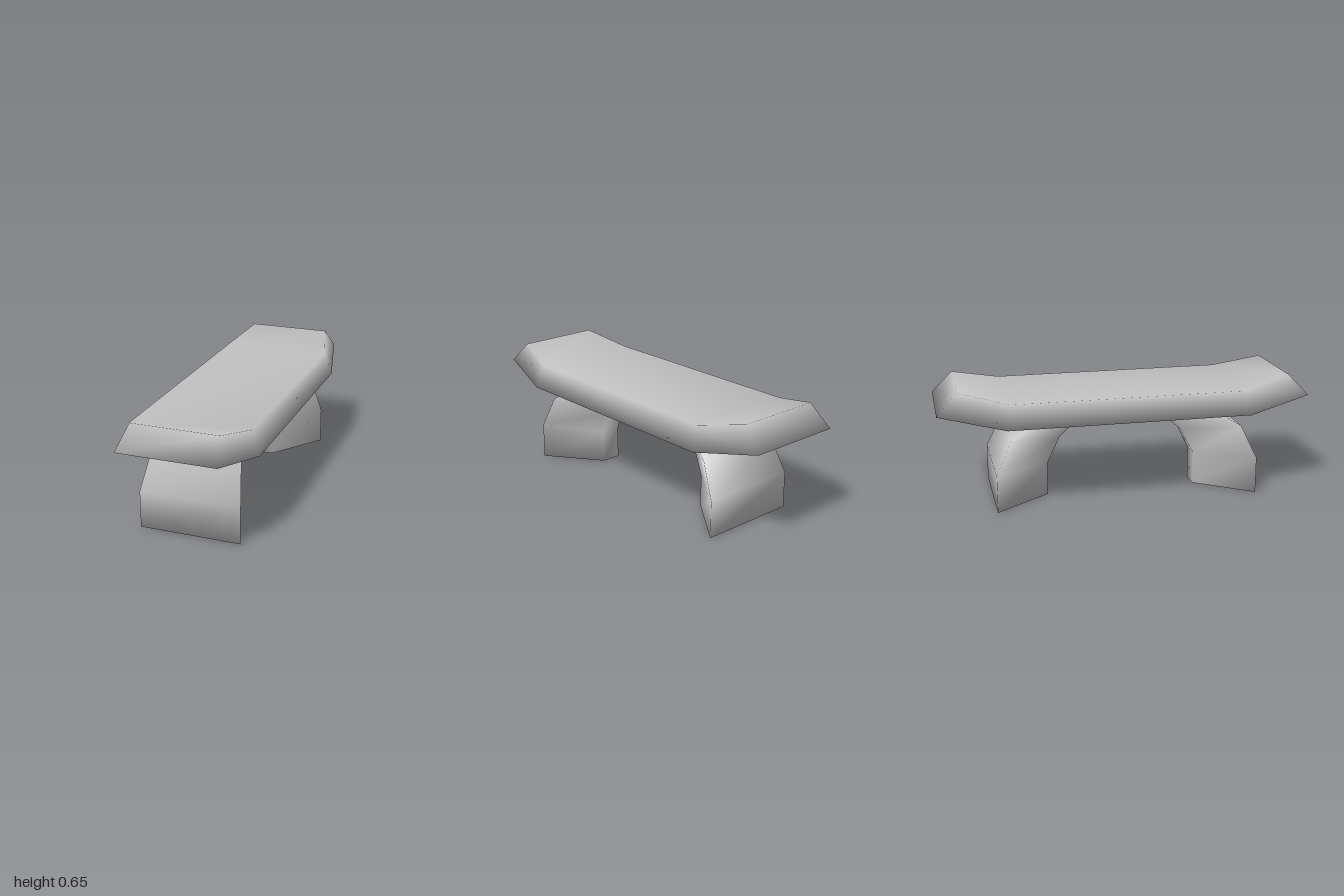
import * as THREE from 'three';

const grey = new THREE.MeshStandardMaterial({ color: 0xc0c0c0 });
grey.name = 'stone grey';

// Skins a row of four-cornered sections into a closed, smooth-shaded solid.
// Corners run counter-clockwise as seen from the end of the row.
function loft(name, sections) {
  const index = [];
  const last = (sections.length - 1) * 4;
  for (let s = 0; s < last; s += 4) {
    for (let j = 0; j < 4; j++) {
      const a = s + j, b = s + ((j + 1) % 4);
      index.push(a, b, b + 4, a, b + 4, a + 4);
    }
  }
  index.push(0, 2, 1, 0, 3, 2);
  index.push(last, last + 1, last + 2, last, last + 2, last + 3);
  const geometry = new THREE.BufferGeometry();
  geometry.setAttribute('position', new THREE.Float32BufferAttribute(sections.flat(2), 3));
  geometry.setIndex(index);
  geometry.computeVertexNormals();
  const mesh = new THREE.Mesh(geometry, grey);
  mesh.name = name;
  return mesh;
}

// Seat section: half width, height and z of the bottom and top edges
const seatSection = (bw, by, bz, tw, ty, tz) => [
  [-bw, by, bz], [bw, by, bz], [tw, ty, tz], [-tw, ty, tz],
];

// Leg section: half width, height and z of the outer and inner edges
const legSection = (ow, oy, oz, iw, iy, iz) => [
  [-ow, oy, oz], [ow, oy, oz], [iw, iy, iz], [-iw, iy, iz],
];

export function createModel() {
  const bench = new THREE.Group();
  bench.name = 'bench';

  // Long seat with upturned, tapered ends
  bench.add(loft('seat', [
    seatSection(0.26, 0.535, -1, 0.23, 0.65, -0.89),
    seatSection(0.342, 0.465, -0.65, 0.3, 0.59, -0.63),
    seatSection(0.342, 0.465, 0.65, 0.3, 0.59, 0.63),
    seatSection(0.26, 0.535, 1, 0.23, 0.65, 0.89),
  ]));

  // Curved wedge legs, broad outside and narrow inside, rising into the seat
  for (const [name, turn, shift] of [['frontLeg', 0, -0.007], ['backLeg', Math.PI, -0.003]]) {
    const leg = loft(name, [
      legSection(0.273, 0, 0.71, 0.055, 0, 0.413),
      legSection(0.273, 0.2, 0.71, 0.055, 0.18, 0.413),
      legSection(0.245, 0.38, 0.625, 0.04, 0.32, 0.34),
      legSection(0.16, 0.53, 0.38, 0.015, 0.51, 0.13),
    ]);
    leg.rotation.y = turn;
    leg.position.x = shift;
    bench.add(leg);
  }
  return bench;
}
